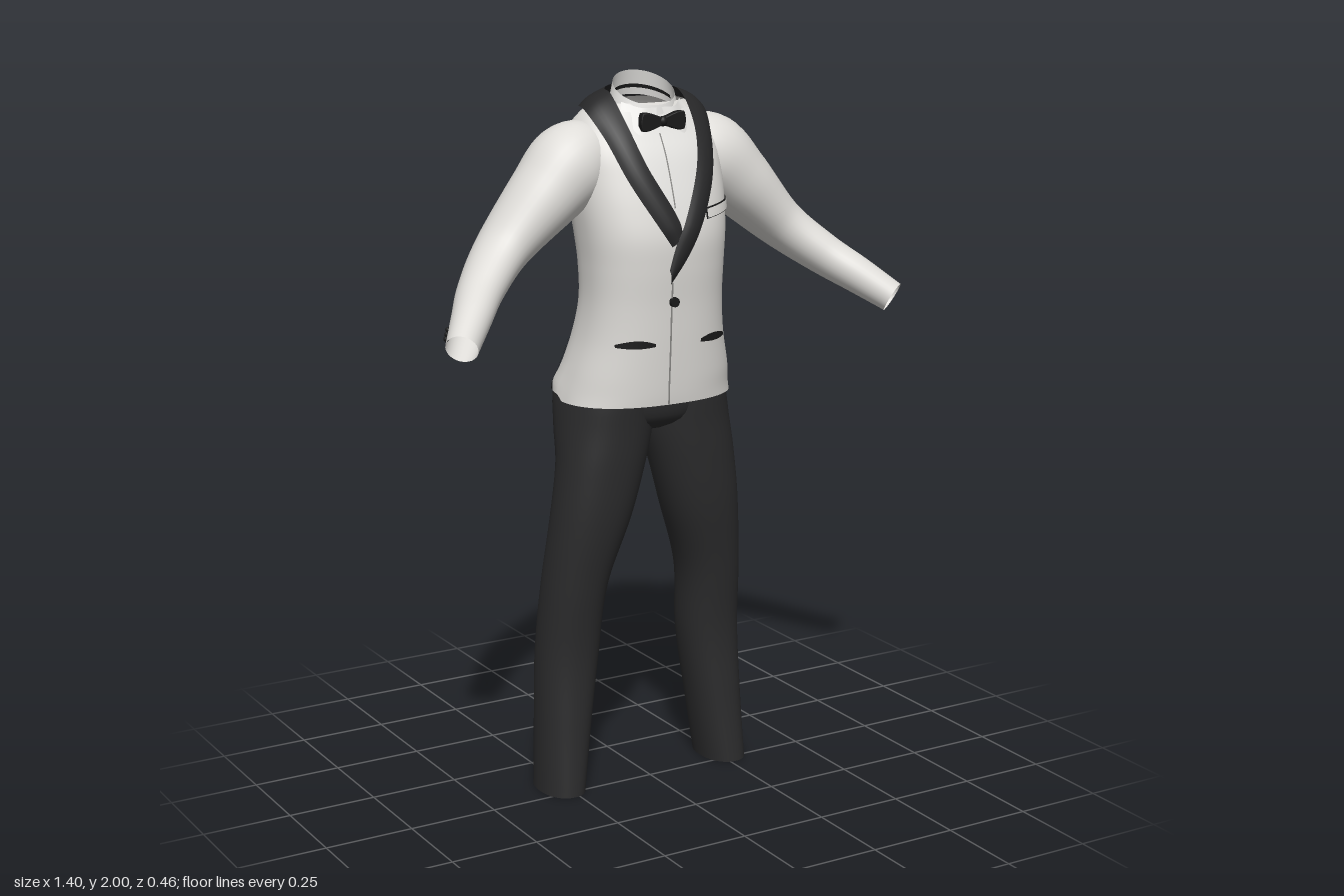
import * as THREE from 'three';

const V = (x, y, z) => new THREE.Vector3(x, y, z);
const paint = (name, color) => {
  const m = new THREE.MeshStandardMaterial({ color, side: THREE.DoubleSide });
  m.name = name;
  return m;
};

// Surface from fn(u, v); closed joins the u ends smoothly
function grid(fn, nu, nv, closed = false) {
  const pos = [], idx = [], cols = closed ? nu : nu + 1;
  for (let j = 0; j <= nv; j++)
    for (let i = 0; i < cols; i++) pos.push(...fn(i / nu, j / nv).toArray());
  for (let j = 0; j < nv; j++)
    for (let i = 0; i < nu; i++) {
      const a = j * cols + i, b = j * cols + (i + 1) % cols;
      idx.push(a, b, b + cols, a, b + cols, a + cols);
    }
  const g = new THREE.BufferGeometry();
  g.setAttribute('position', new THREE.Float32BufferAttribute(pos, 3));
  g.setIndex(idx);
  g.computeVertexNormals();
  return g;
}

// Smoothly interpolated section [y, x0, x1, zFront, zBack] at height y
function sectionAt(rows, y) {
  let i = 0;
  while (i < rows.length - 2 && y > rows[i + 1][0]) i++;
  const p = rows[i], q = rows[i + 1], h = q[0] - p[0], t = (y - p[0]) / h;
  const slope = (k, c) => {
    const a = rows[Math.max(k - 1, 0)], b = rows[Math.min(k + 1, rows.length - 1)];
    return (b[c] - a[c]) / (b[0] - a[0]);
  };
  const [x0, x1, zf, zb] = [1, 2, 3, 4].map(c =>
    p[c] * (1 + 2 * t) * (1 - t) ** 2 + q[c] * t * t * (3 - 2 * t)
    + h * (slope(i, c) * t * (1 - t) ** 2 + slope(i + 1, c) * t * t * (t - 1)));
  return { cx: (x0 + x1) / 2, hw: (x1 - x0) / 2, cz: (zf + zb) / 2, hd: (zf - zb) / 2 };
}
const spow = (v, e) => Math.sign(v) * Math.abs(v) ** e;
function around(rows, a, y, n, off = 0) {
  const s = sectionAt(rows, y);
  return V(s.cx + (s.hw + off) * spow(Math.sin(a), 2 / n), y, s.cz + (s.hd + off) * spow(Math.cos(a), 2 / n));
}
const loft = (rows, n, nu, nv) => {
  const y0 = rows[0][0], y1 = rows[rows.length - 1][0];
  return grid((u, v) => around(rows, u * Math.PI * 2, y0 + (y1 - y0) * v, n), nu, nv, true);
};

const TORSO = [
  [1.125, -.253, .247, .135, -.225], [1.15, -.248, .243, .138, -.235], [1.2, -.235, .235, .142, -.212],
  [1.3, -.21, .21, .148, -.178], [1.4, -.198, .198, .153, -.152], [1.5, -.2, .2, .16, -.155],
  [1.58, -.207, .207, .16, -.167], [1.66, -.215, .215, .142, -.18], [1.74, -.22, .22, .115, -.19],
  [1.8, -.22, .22, .09, -.188], [1.86, -.2, .2, .055, -.178], [1.9, -.165, .165, .035, -.158],
  [1.925, -.125, .125, .02, -.14]];
const LEG = [
  [.005, .202, .328, .038, -.152], [.2, .172, .322, .024, -.158], [.4, .142, .316, .018, -.162],
  [.6, .125, .305, .042, -.145], [.8, .06, .285, .074, -.132], [.95, .018, .266, .086, -.14],
  [1.05, -.008, .255, .09, -.185], [1.14, -.01, .24, .095, -.215], [1.22, -.01, .21, .09, -.18]];
const PELVIS = [
  [1.035, -.09, .09, .03, -.11], [1.06, -.16, .16, .075, -.17], [1.12, -.22, .22, .093, -.212],
  [1.22, -.21, .21, .09, -.18]];
const N = 2.4;

// Point on the chest at (x, y), raised by off
function chest(x, y, off) {
  const s = sectionAt(TORSO, y), k = Math.min(Math.abs(x / s.hw), 1);
  return V(x, y, s.cz + s.hd * (1 - k ** N) ** (1 / N) + off);
}

export function createModel() {
  const root = new THREE.Group();
  root.name = 'dinnerSuit';
  const jacket = paint('ivory jacket cloth', 0xdedcd8), shirt = paint('white shirt cloth', 0xe4e3e0);
  const satin = paint('black satin', 0x272728), wool = paint('black trouser wool', 0x2b2b2c);
  const trim = paint('black trim', 0x1a1a1a), seam = paint('grey seam', 0x8a8986);
  const add = (name, geo, mat) => {
    const m = new THREE.Mesh(geo, mat);
    m.name = name;
    root.add(m);
    return m;
  };
  const curve = pts => new THREE.CatmullRomCurve3(pts);

  // Jacket body with a shallow groove down the spine
  add('jacketBody', grid((u, v) => {
    const y = 1.125 + .8 * v, p = around(TORSO, u * Math.PI * 2, y, N);
    if (p.z < -.05) {
      p.z += .016 * Math.exp(-((p.x / .05) ** 2)) * Math.exp(-(((y - 1.65) / .2) ** 2));
      p.y += .015 * Math.max(0, 1 - v * 8);
    }
    return p;
  }, 64, 64, true), jacket);

  // Sleeves: rings along a bent path, [centre, radius up, radius deep]
  const ARM = [
    [V(.12, 1.79, -.06), .085, .085], [V(.21, 1.765, -.055), .115, .113], [V(.3, 1.69, -.045), .098, .106],
    [V(.43, 1.565, -.03), .07, .086], [V(.53, 1.478, .04), .058, .068], [V(.6, 1.42, .12), .051, .055],
    [V(.667, 1.362, .197), .043, .043]];
  const path = curve(ARM.map(r => r[0])), size = curve(ARM.map(r => V(r[1], r[2], 0)));
  path.curveType = size.curveType = 'catmullrom';
  const sleevePoint = (side, a, t, off = 0) => {
    const c = path.getPoint(t), r = size.getPoint(t), tan = path.getTangent(t);
    const d = V(0, 0, 1).addScaledVector(tan, -tan.z).normalize(), n = d.clone().cross(tan);
    const p = c.addScaledVector(n, (r.x + off) * Math.cos(a)).addScaledVector(d, (r.y + off) * Math.sin(a));
    p.x *= side;
    return p;
  };

  for (const side of [1, -1]) {
    const tag = side > 0 ? 'left' : 'right';
    add(tag + 'Sleeve', grid((u, v) => sleevePoint(side, u * Math.PI * 2, v), 32, 40, true), jacket);
    add(tag + 'TrouserLeg', loft(LEG.map(([y, a, b, f, k]) =>
      side > 0 ? [y, a, b, f, k] : [y, -b, -a, f, k]), 2.2, 40, 50), wool);

    // Cuff buttons on the outer back of the wrist
    for (let k = 0; k < 3; k++) {
      const b = add(tag + 'CuffButton', new THREE.SphereGeometry(.007, 10, 8), trim);
      b.position.copy(sleevePoint(side, -.75, .92 + k * .025, .001));
    }

    // Side vent in the jacket skirt
    add(tag + 'Vent', grid((u, v) => around(TORSO, side * (2.13 + (u - .5) * .06 * (1.2 - v)),
      1.135 + .145 * v, N, .004), 1, 12), trim);

    // Shirt collar point
    const top = curve([V(.008 * side, 1.915, .045), V(.05 * side, 1.915, .04), V(.09 * side, 1.93, 0)]);
    const low = curve([V(.014 * side, 1.89, .055), V(.065 * side, 1.845, .068), V(.105 * side, 1.9, .02)]);
    add(tag + 'CollarPoint', grid((u, v) => top.getPoint(u).lerp(low.getPoint(u), v), 10, 2), shirt);

    // Shawl lapel running from the front opening over the shoulder to the nape
    const lift = side > 0 ? .005 : 0;
    const front = (pts, off) => pts.map(([x, y]) => chest(x, y, off + lift));
    const mirror = p => p.map(([x, y]) => [x * side, y]);
    const outTail = side > 0 ? [[-.035, 1.46], [.015, 1.53]] : [[-.03, 1.56]];
    const inTail = side > 0 ? [[-.042, 1.5], [-.025, 1.56]] : [[0, 1.58]];
    const outer = curve([...front(outTail, .006), ...front(mirror([[.06, 1.605], [.127, 1.73], [.162, 1.84]]), .008),
      V(.18 * side, 1.908, -.035), V(.155 * side, 1.912, -.115), V(.085 * side, 1.895, -.165), V(0, 1.885, -.174)]);
    const inner = curve([...front(inTail, .01), ...front(mirror([[.005, 1.62], [.075, 1.77], [.1, 1.87]]), .014),
      V(.105 * side, 1.95, -.03), V(.092 * side, 1.957, -.085), V(.052 * side, 1.962, -.125), V(0, 1.963, -.135)]);
    add(tag + 'Lapel', grid((u, v) => {
      const p = outer.getPoint(u).lerp(inner.getPoint(u), v);
      const out = V(p.x, .06, p.z + .05).normalize();
      return p.addScaledVector(out, .009 * Math.sin(Math.PI * v));
    }, 60, 6), satin);

    // Hip pocket opening
    add(tag + 'HipPocket', grid((u, v) => chest(side * (.07 + .1 * u),
      1.296 + .012 * u * (1 - u) + (v - .5) * .022 * Math.sin(Math.PI * (.12 + .76 * u)), .006), 14, 1), trim);
  }
  add('trouserSeat', loft(PELVIS, 2.3, 40, 12), wool);

  // Shirt front and its placket line
  add('shirtFront', grid((u, v) => {
    const y = 1.58 + .325 * v;
    return chest((u * 2 - 1) * Math.min(.02 + (y - 1.58) * .4, .11), y, .004);
  }, 14, 16), shirt);
  add('shirtPlacket', grid((u, v) => chest(-.013 + .004 * u, 1.66 + .19 * v, .007), 1, 10), seam);

  // Stand collar, higher at the nape, with a dark band inside
  const collarPoint = (a, v, shrink) => {
    const r = .1 - .013 * v - shrink, dz = (r - .016) * Math.cos(a);
    return V(r * Math.sin(a), 1.9 + .06 * v - (.4 + .17 * v) * dz, -.035 + dz);
  };
  add('shirtCollar', grid((u, v) => collarPoint(u * Math.PI * 2, v, 0), 40, 6, true), shirt);
  add('collarLining', grid((u, v) => collarPoint(Math.PI * (.55 + .9 * u), .3 + .15 * v, .004), 24, 1), trim);

  // Bow tie
  const bow = new THREE.Shape();
  bow.moveTo(0, .008);
  bow.bezierCurveTo(.025, .012, .04, .026, .062, .021);
  bow.quadraticCurveTo(.07, 0, .062, -.021);
  bow.bezierCurveTo(.04, -.026, .025, -.012, 0, -.008);
  bow.bezierCurveTo(-.025, -.012, -.04, -.026, -.062, -.021);
  bow.quadraticCurveTo(-.07, 0, -.062, .021);
  bow.bezierCurveTo(-.04, .026, -.025, .012, 0, .008);
  const tie = add('bowTie', new THREE.ExtrudeGeometry(bow, {
    depth: .012, bevelEnabled: true, bevelSize: .003, bevelThickness: .004, bevelSegments: 2, curveSegments: 10 }), trim);
  tie.position.set(0, 1.88, .056);
  const knot = add('bowKnot', new THREE.SphereGeometry(.014, 16, 12), trim);
  knot.position.set(0, 1.88, .066);
  knot.scale.set(.9, 1, .8);

  // Front edge, closing button
  add('frontEdge', grid((u, v) => chest(-.028 + .005 * u + .012 * Math.max(0, .15 - v),
    1.128 + .335 * v, .004), 1, 24), seam);
  const button = add('frontButton', new THREE.CylinderGeometry(.013, .014, .01, 20), trim);
  button.rotation.x = Math.PI / 2;
  button.position.copy(chest(-.018, 1.41, .005));

  // Breast pocket: dark rim under a pale welt
  const welt = (grow, off) => grid((u, v) => chest(.09 - grow + (.115 + 2 * grow) * u,
    1.638 + .014 * u + (v - .5) * (.024 + 2 * grow), off), 10, 2);
  add('breastPocketRim', welt(.003, .006), trim);
  add('breastPocketWelt', welt(0, .01), jacket);

  return root;
}
